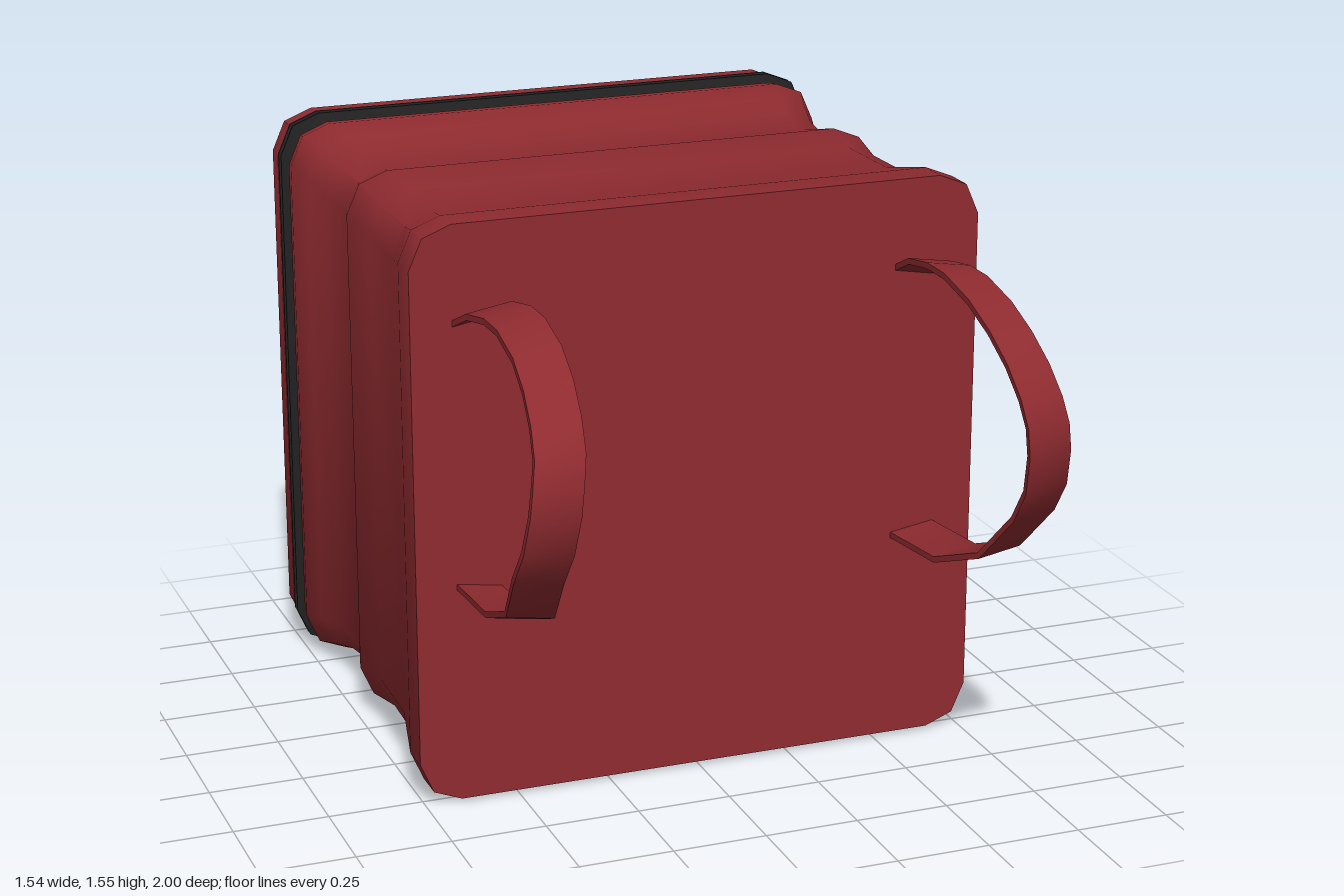
import * as THREE from 'three';
import { toCreasedNormals } from 'three/addons/utils/BufferGeometryUtils.js';

const red = new THREE.MeshStandardMaterial({ color: 0x8f2b30 });
const black = new THREE.MeshStandardMaterial({ color: 0x222222 });
const MID_Y = 0.775;

// Skin a row of closed rings and cap both ends
function loft(rings, crease) {
  const n = rings[0].length, pos = [], idx = [];
  rings.forEach(r => r.forEach(p => pos.push(p.x, p.y, p.z)));
  for (let i = 0; i < rings.length - 1; i++) {
    for (let j = 0; j < n; j++) {
      const k = (j + 1) % n, a = i * n, b = a + n;
      idx.push(a + j, a + k, b + k, a + j, b + k, b + j);
    }
  }
  const last = (rings.length - 1) * n;
  for (let j = 1; j < n - 1; j++) {
    idx.push(0, j + 1, j);
    idx.push(last, last + j, last + j + 1);
  }
  const g = new THREE.BufferGeometry();
  g.setAttribute('position', new THREE.Float32BufferAttribute(pos, 3));
  g.setIndex(idx);
  return toCreasedNormals(g, crease);
}

// Rounded square section at depth z with half width w and half height h
function section([z, w, h]) {
  const corner = [[0, 0.11], [0.035, 0.03], [0.11, 0]];
  const ring = [];
  for (const [sx, sy] of [[1, 1], [-1, 1], [-1, -1], [1, -1]]) {
    const pts = corner.map(([dx, dy]) =>
      new THREE.Vector3(sx * (w - dx), MID_Y + sy * (h - dy), z));
    ring.push(...(sx * sy > 0 ? pts : pts.reverse()));
  }
  return ring;
}

function strapGeometry(side) {
  // Centre line of the loop: x (outwards), y, z
  const path = [
    [0.597, 1.29, 0.27], [0.59, 1.34, 0.38], [0.583, 1.362, 0.5], [0.583, 1.362, 0.6],
    [0.587, 1.332, 0.73], [0.595, 1.283, 0.83], [0.605, 1.222, 0.91], [0.615, 1.155, 0.965],
    [0.627, 1.09, 0.985], [0.634, 1.02, 0.985], [0.642, 0.92, 0.955], [0.645, 0.83, 0.89],
    [0.622, 0.69, 0.755], [0.604, 0.605, 0.54], [0.597, 0.583, 0.27],
  ].map(([x, y, z]) => new THREE.Vector3(side * x, y, z));
  const rings = path.map((p, i) => {
    const t = path[Math.min(i + 1, path.length - 1)].clone().sub(path[Math.max(i - 1, 0)]);
    t.x = 0;
    t.normalize();
    const v = t.cross(new THREE.Vector3(1, 0, 0));
    // The outer edge leans slightly inside the loop
    const u = new THREE.Vector3(1, 0, 0).addScaledVector(v, -side * 0.16);
    return [[-1, -1], [1, -1], [1, 1], [-1, 1]].map(([a, b]) =>
      p.clone().addScaledVector(u, a * 0.06).addScaledVector(v, b * 0.008));
  });
  return loft(rings, 0.7);
}

export function createModel() {
  const model = new THREE.Group();
  const add = (name, geometry, material) => {
    const mesh = new THREE.Mesh(geometry, material);
    mesh.name = name;
    model.add(mesh);
  };

  // Soft bag body with sagging waves along its depth
  add('bagBody', loft([
    [-0.865, 0.725, 0.735], [-0.85, 0.757, 0.757], [-0.8, 0.765, 0.764], [-0.72, 0.742, 0.745],
    [-0.62, 0.718, 0.724], [-0.475, 0.705, 0.712], [-0.34, 0.741, 0.744], [-0.2, 0.723, 0.727],
    [0.03, 0.73, 0.727], [0.2, 0.765, 0.765], [0.288, 0.765, 0.765],
  ].map(section), 0.8), red);

  // Zip between body and lid: two thin ridges around a core
  add('zip', loft([
    [-0.93, 0.72, 0.725], [-0.924, 0.742, 0.747], [-0.916, 0.743, 0.748], [-0.911, 0.77, 0.775],
    [-0.906, 0.77, 0.775], [-0.901, 0.745, 0.75], [-0.891, 0.745, 0.75], [-0.886, 0.77, 0.775],
    [-0.881, 0.77, 0.775], [-0.874, 0.743, 0.748], [-0.86, 0.72, 0.725],
  ].map(section), 0.6), black);

  // Flat lid panel at the back
  add('lid', loft([
    [-1, 0.752, 0.752], [-0.988, 0.765, 0.765], [-0.935, 0.765, 0.765], [-0.925, 0.757, 0.757],
  ].map(section), 0.6), red);

  // Pair of shoulder straps
  add('leftStrap', strapGeometry(1), red);
  add('rightStrap', strapGeometry(-1), red);
  return model;
}
